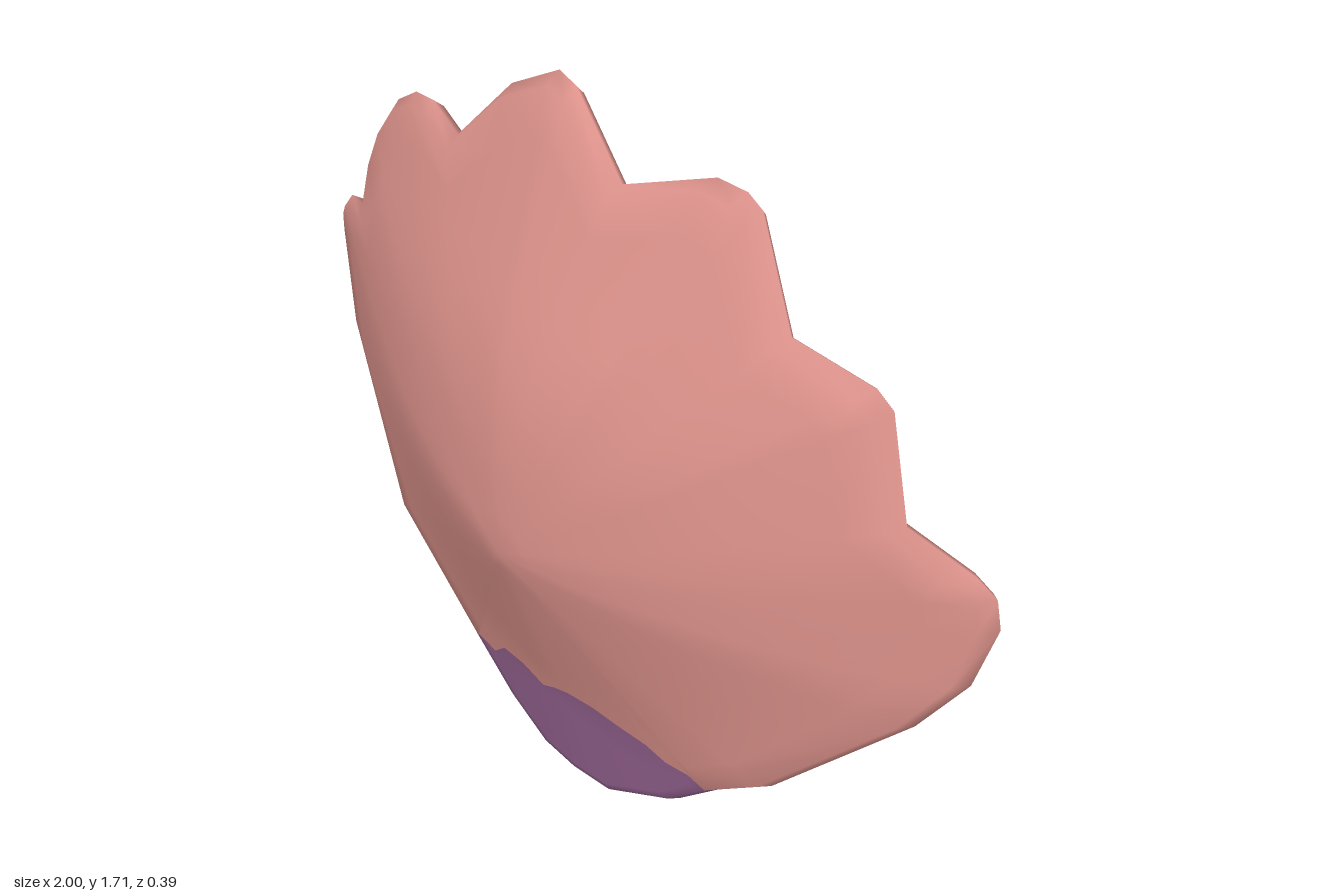
import * as THREE from 'three';
import { mergeVertices } from 'three/addons/utils/BufferGeometryUtils.js';

const THICK = 0.055, INSET = 0.022, RINGS = 10;

// Scalloped outer edge of the body, from the lower right round to the lower left
const bodyEdge = [
  [0.44, 0.25], [0.59, 0.37], [0.88, 0.70], [0.96, 0.83], [0.995, 0.98], [0.985, 1.05], [0.95, 1.09],
  [0.82, 1.16], [0.75, 1.37], [0.71, 1.40], [0.53, 1.44], [0.40, 1.63], [0.36, 1.65], [0.29, 1.655],
  [0.09, 1.58], [-0.10, 1.70], [-0.16, 1.71], [-0.29, 1.64], [-0.43, 1.485], [-0.56, 1.505],
  [-0.64, 1.49], [-0.72, 1.44], [-0.77, 1.37], [-0.79, 1.29], [-0.80, 1.15], [-0.95, 1.105],
  [-0.99, 1.06], [-1, 1.01], [-0.92, 0.80], [-0.63, 0.44], [-0.35, 0.20],
];
// Outer edge of the tip, left to right under the bottom
const tipEdge = [
  [-0.35, 0.20], [-0.23, 0.08], [-0.11, 0.005], [0, 0], [0.12, 0.01], [0.32, 0.13], [0.44, 0.25],
];
// Wavy colour boundary, left to right, without its two ends
const wave = [
  [-0.33, 0.22], [-0.26, 0.22], [-0.20, 0.28], [-0.12, 0.29], [-0.05, 0.27], [0, 0.30], [0.05, 0.32],
  [0.13, 0.33], [0.20, 0.32], [0.28, 0.31], [0.33, 0.285], [0.39, 0.285],
];
// Height and depth along the centre line
const profile = [[0, -0.022], [0.3, 0.04], [0.77, 0.2], [1.02, 0.18], [1.2, 0.14], [1.5, 0.01], [1.71, -0.08]];

const bump = (y, middle, width) => Math.exp(-(((y - middle) / width) ** 2));

function centreLine(y) {
  let i = 0;
  while (i < profile.length - 2 && y > profile[i + 1][0]) i++;
  const [y0, z0] = profile[i], [y1, z1] = profile[i + 1];
  return z0 + (z1 - z0) * (y - y0) / (y1 - y0);
}

// Depth of the front face: the centre line, rounding off and falling away to both sides
function depth(x, y) {
  const spread = 0.03 + 0.3 * Math.abs(x);
  let z = 0;
  for (let k = -3; k <= 3; k++) z += centreLine(y + spread * k / 3) / 7;
  let fall = 0.17 + 0.155 * bump(y, 0.88, 0.42);
  fall += (x < 0 ? 0.05 : 0.025) * bump(y, 1.4, 0.2); // upper lobes bend further back
  return z - fall * Math.abs(x) ** 1.6;
}
const front = ([x, y]) => [x, y, depth(x, y)];
const back = ([x, y]) => [x, y, depth(x, y) - THICK];
const rim = ([x, y]) => [x, y, depth(x, y) - THICK / 2];
const mix = (a, b, t) => [a[0] + (b[0] - a[0]) * t, a[1] + (b[1] - a[1]) * t];

// Curved plate fanned round a centre, with a rounded rim along its outer edge
function addRegion(out, edge, boundary, centre) {
  const tri = (a, b, c) => out.push(...a, ...b, ...c);
  const quad = (a, b, c, d) => { tri(a, b, c); tri(a, c, d); };
  const loop = edge.map(p => mix(p, [0, 0.75], INSET)).concat(boundary);
  for (let i = 0; i < loop.length; i++) {
    const p = loop[i], q = loop[(i + 1) % loop.length];
    for (let r = 0; r < RINGS; r++) {
      const a = mix(centre, p, r / RINGS), b = mix(centre, p, (r + 1) / RINGS);
      const c = mix(centre, q, (r + 1) / RINGS), d = mix(centre, q, r / RINGS);
      tri(front(b), front(c), front(a));
      tri(back(c), back(b), back(a));
      if (r > 0) {
        tri(front(a), front(c), front(d));
        tri(back(a), back(d), back(c));
      }
    }
    if (i < edge.length - 1) {
      const e = rim(edge[i]), f = rim(edge[i + 1]);
      quad(front(p), e, f, front(q));
      quad(e, back(p), back(q), f);
    }
  }
}

export function createModel() {
  const pink = new THREE.MeshStandardMaterial({ color: 0xde938c });
  pink.name = 'salmon pink';
  const purple = new THREE.MeshStandardMaterial({ color: 0x9a6695 });
  purple.name = 'muted purple';

  const positions = [];
  addRegion(positions, bodyEdge, wave, [0, 0.77]);
  const split = positions.length / 3;
  addRegion(positions, tipEdge, [...wave].reverse(), [0.03, 0.17]);

  let geometry = new THREE.BufferGeometry();
  geometry.setAttribute('position', new THREE.Float32BufferAttribute(positions, 3));
  geometry = mergeVertices(geometry, 1e-4);
  geometry.addGroup(0, split, 0);
  geometry.addGroup(split, positions.length / 3 - split, 1);
  geometry.computeVertexNormals();

  const petal = new THREE.Mesh(geometry, [pink, purple]);
  petal.name = 'scallopedPetal';
  const group = new THREE.Group();
  group.name = 'petal';
  group.add(petal);
  return group;
}
